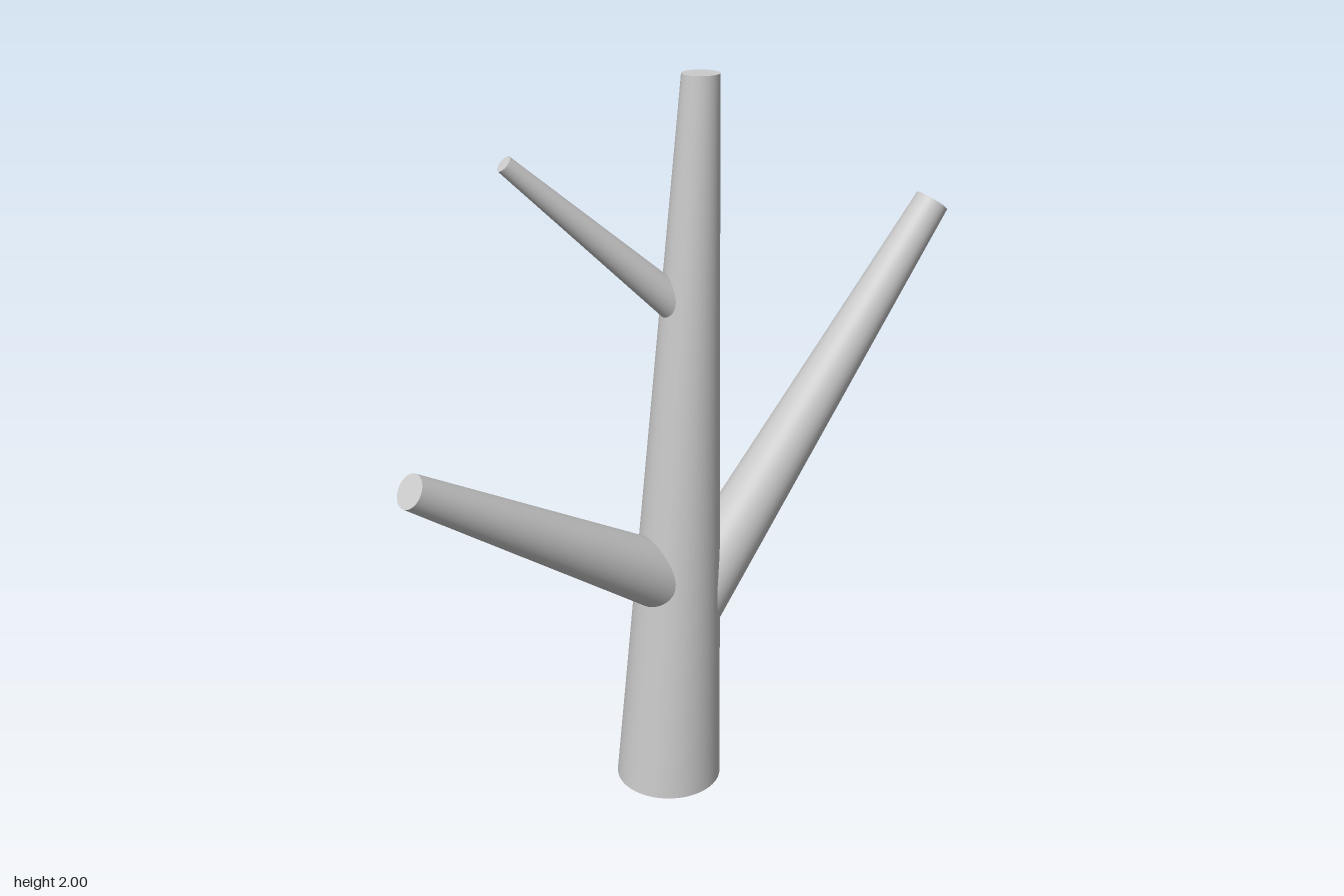
import * as THREE from 'three';

const SEGMENTS = 48;
const UP = new THREE.Vector3(0, 1, 0);
const bark = new THREE.MeshStandardMaterial({ color: 0xcccccc });

// Tapered limb running from one point to another, cut square to its axis.
function makeBranch(name, from, to, baseRadius, tipRadius) {
  const a = new THREE.Vector3(...from);
  const b = new THREE.Vector3(...to);
  const length = a.distanceTo(b);
  const branch = new THREE.Mesh(
    new THREE.CylinderGeometry(tipRadius, baseRadius, length, SEGMENTS), bark);
  branch.name = name;
  branch.position.copy(a).add(b).multiplyScalar(0.5);
  branch.quaternion.setFromUnitVectors(UP, b.sub(a).normalize());
  return branch;
}

// Leaning trunk: a tapered cylinder sheared so both ends stay level.
function makeTrunk() {
  const height = 2;
  const geometry = new THREE.CylinderGeometry(0.047, 0.148, height, SEGMENTS);
  geometry.translate(0, height / 2, 0);
  const shear = new THREE.Matrix4().set(
    1, 0.045 / height, 0, 0,
    0, 1, 0, 0,
    0, 0.071 / height, 1, -0.015,
    0, 0, 0, 1);
  geometry.applyMatrix4(shear);
  const trunk = new THREE.Mesh(geometry, bark);
  trunk.name = 'trunk';
  return trunk;
}

export function createModel() {
  const tree = new THREE.Group();
  tree.name = 'bareTree';
  tree.add(
    makeTrunk(),
    // Each limb starts on the trunk's axis
    makeBranch('leftBranch', [0.02, 0.49, 0], [0.777, 1.597, 0.118], 0.098, 0.047),
    makeBranch('rightBranch', [0.015, 0.618, 0], [-0.796, 1.132, 0.08], 0.096, 0.044),
    makeBranch('upperTwig', [0.03, 1.39, 0.034], [-0.442, 1.825, -0.048], 0.048, 0.022),
  );
  return tree;
}
